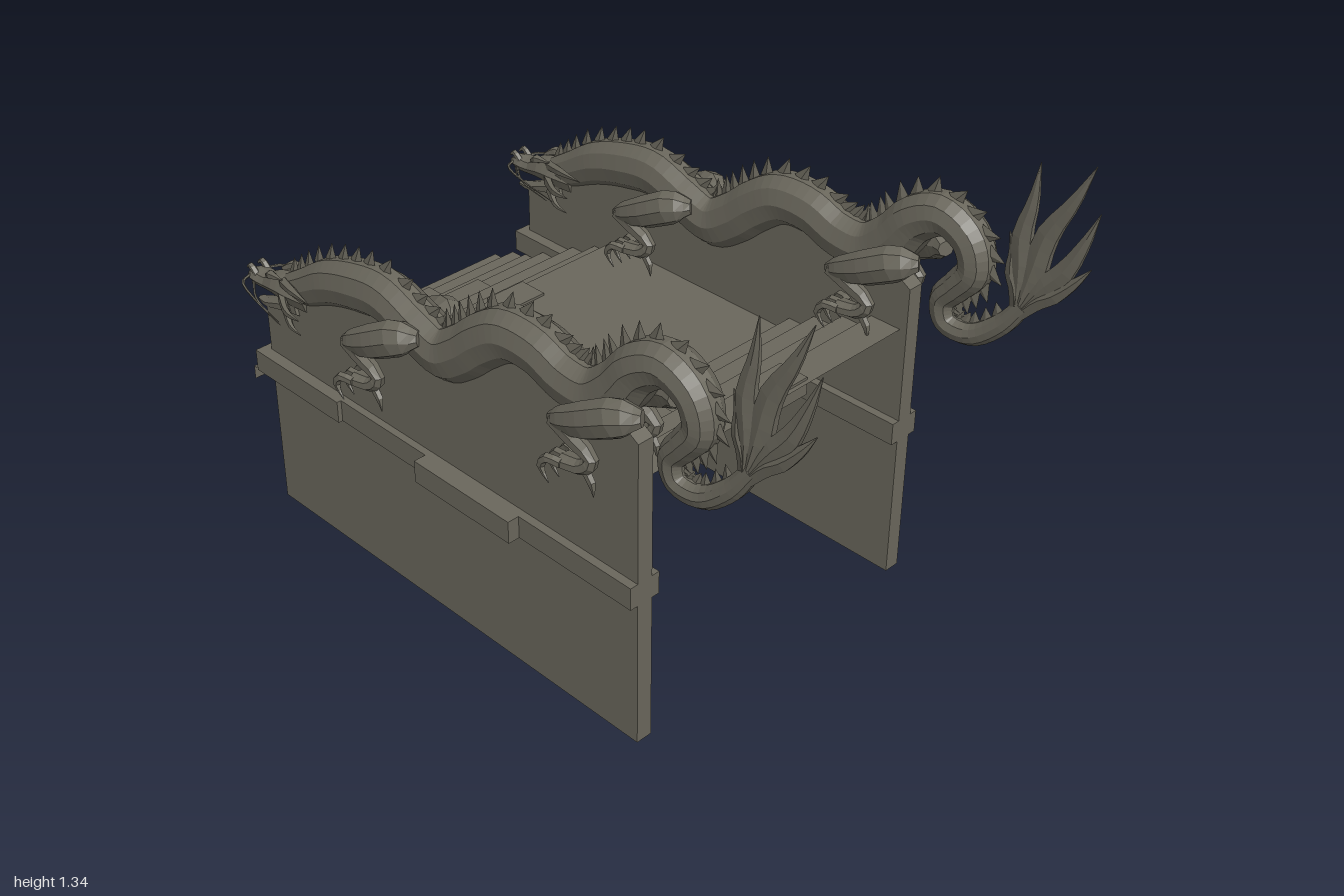
import * as THREE from 'three';
import { mergeGeometries } from 'three/addons/utils/BufferGeometryUtils.js';

const stone = new THREE.MeshStandardMaterial({ color: 0x6a675c, flatShading: true, side: THREE.DoubleSide });
stone.name = 'weathered stone';
const X = new THREE.Vector3(1, 0, 0);

function add(group, name, geometry) {
  const mesh = new THREE.Mesh(geometry, stone);
  mesh.name = name;
  group.add(mesh);
  return mesh;
}

// Smooth path through points [x, y, z, sideRadius, upRadius] with its local frame
function makePath(points) {
  const curve = new THREE.CatmullRomCurve3(points.map(p => new THREE.Vector3(p[0], p[1], p[2])));
  return t => {
    const f = t * (points.length - 1), i = Math.min(Math.floor(f), points.length - 2), k = f - i;
    const tangent = curve.getTangent(t);
    const side = X.clone().addScaledVector(tangent, -X.dot(tangent)).normalize();
    return {
      pos: curve.getPoint(t), tangent, side,
      up: tangent.clone().cross(side),
      rs: THREE.MathUtils.lerp(points[i][3], points[i + 1][3], k),
      ru: THREE.MathUtils.lerp(points[i][4], points[i + 1][4], k),
    };
  };
}

// Elliptical tapering tube along such a path, closed at both ends
function sweep(points, steps = 10, sides = 6) {
  const at = makePath(points), v = [], index = [];
  for (let i = 0; i <= steps; i++) {
    const f = at(i / steps);
    for (let j = 0; j < sides; j++) {
      const a = (j / sides) * Math.PI * 2;
      const p = f.pos.clone().addScaledVector(f.side, Math.cos(a) * f.rs).addScaledVector(f.up, Math.sin(a) * f.ru);
      v.push(p.x, p.y, p.z);
      if (i < steps) {
        const n = (j + 1) % sides, a0 = i * sides + j, b0 = i * sides + n;
        index.push(a0, b0, a0 + sides, b0, b0 + sides, a0 + sides);
      }
    }
  }
  for (let j = 1; j < sides - 1; j++) {
    const e = steps * sides;
    index.push(0, j + 1, j, e, e + j, e + j + 1);
  }
  const g = new THREE.BufferGeometry();
  g.setAttribute('position', new THREE.Float32BufferAttribute(v, 3));
  g.setIndex(index);
  g.computeVertexNormals();
  return g;
}

// Body centreline from neck to tail: [z, y, sideRadius, upRadius]
const bodyLine = [
  [-0.74, 0.69, 0.04, 0.045], [-0.66, 0.73, 0.045, 0.055], [-0.56, 0.785, 0.052, 0.065], [-0.45, 0.82, 0.056, 0.07],
  [-0.34, 0.835, 0.058, 0.072], [-0.23, 0.80, 0.06, 0.072], [-0.13, 0.775, 0.06, 0.072], [-0.05, 0.82, 0.06, 0.072],
  [0.02, 0.88, 0.06, 0.072], [0.10, 0.93, 0.06, 0.07], [0.20, 0.935, 0.06, 0.07], [0.29, 0.905, 0.06, 0.07],
  [0.38, 0.905, 0.06, 0.07], [0.45, 0.96, 0.06, 0.066], [0.51, 1.035, 0.058, 0.06], [0.59, 1.075, 0.054, 0.055],
  [0.665, 1.04, 0.05, 0.05], [0.685, 0.97, 0.047, 0.045], [0.645, 0.91, 0.043, 0.04], [0.605, 0.855, 0.038, 0.036],
  [0.62, 0.80, 0.034, 0.034], [0.69, 0.795, 0.03, 0.03], [0.77, 0.855, 0.024, 0.027], [0.825, 0.93, 0.018, 0.022],
].map(([z, y, s, u]) => [0, y, z, s, u]);

// Row of swept-back fins along the spine
function spineFins() {
  const at = makePath(bodyLine), fins = [];
  for (let i = 1; i < 52; i++) {
    const f = at(i / 53), h = 0.03 + f.ru * 0.4;
    const dir = f.up.clone().addScaledVector(f.tangent, 0.55).normalize();
    const g = new THREE.ConeGeometry(0.024, h, 4).scale(0.35, 1, 1).translate(0, h / 2 - 0.012, 0);
    g.applyQuaternion(new THREE.Quaternion().setFromUnitVectors(new THREE.Vector3(0, 1, 0), dir));
    const p = f.pos.clone().addScaledVector(f.up, f.ru * 0.97);
    fins.push(g.translate(p.x, p.y, p.z));
  }
  return mergeGeometries(fins);
}

// Leg with haunch, shin, paw and claws; s is the side, (y, z) the offset from the hind leg
function leg(s, y, z) {
  const P = list => list.map(([px, py, pz, a, b]) => [s * px, py + y, pz + z, a, b]);
  const parts = [
    sweep(P([[0.05, 0.95, 0.56, 0.02, 0.02], [0.075, 0.945, 0.52, 0.04, 0.048], [0.088, 0.90, 0.43, 0.036, 0.045],
      [0.088, 0.865, 0.35, 0.028, 0.032], [0.088, 0.855, 0.315, 0.01, 0.012]]), 10, 8),
    sweep(P([[0.088, 0.86, 0.33, 0.022, 0.022], [0.095, 0.845, 0.39, 0.022, 0.024], [0.098, 0.815, 0.455, 0.016, 0.018],
      [0.098, 0.785, 0.43, 0.02, 0.02], [0.098, 0.775, 0.37, 0.028, 0.018]]), 10, 7),
  ];
  for (const k of [-1, 0, 1]) {
    const c = 0.096 + k * 0.022, e = 0.096 + k * 0.031;
    parts.push(sweep(P([[c, 0.778, 0.38, 0.011, 0.012], [e, 0.78, 0.345, 0.011, 0.012],
      [e, 0.75, 0.325, 0.009, 0.01], [e, 0.715, 0.35, 0.001, 0.001]]), 6, 5));
  }
  parts.push(sweep(P([[0.098, 0.785, 0.43, 0.01, 0.012], [0.098, 0.755, 0.455, 0.009, 0.011], [0.098, 0.72, 0.46, 0.001, 0.001]]), 4, 5));
  return mergeGeometries(parts);
}

function head() {
  const parts = [
    // skull and open snout
    sweep([[0, 0.69, -0.66, 0.035, 0.04], [0, 0.695, -0.72, 0.05, 0.045], [0, 0.69, -0.78, 0.047, 0.036],
      [0, 0.672, -0.84, 0.033, 0.022], [0, 0.668, -0.89, 0.032, 0.024], [0, 0.662, -0.92, 0.018, 0.012]], 12, 8),
    // lower jaw
    sweep([[0, 0.655, -0.70, 0.035, 0.03], [0, 0.63, -0.78, 0.032, 0.018], [0, 0.605, -0.85, 0.025, 0.012],
      [0, 0.597, -0.895, 0.01, 0.006]], 8, 7),
  ];
  for (const s of [-1, 1]) {
    const arc = (list, n = 6) => parts.push(sweep(list.map(([x, ...r]) => [s * x, ...r]), n, 5));
    // brow, horn, cheek spikes, nostril and fangs
    arc([[0.025, 0.705, -0.82, 0.006, 0.006], [0.036, 0.725, -0.785, 0.013, 0.013], [0.042, 0.735, -0.73, 0.002, 0.002]]);
    arc([[0.03, 0.72, -0.74, 0.014, 0.014], [0.055, 0.735, -0.67, 0.012, 0.012], [0.085, 0.755, -0.56, 0.001, 0.001]]);
    arc([[0.04, 0.68, -0.74, 0.012, 0.02], [0.07, 0.675, -0.68, 0.008, 0.014], [0.085, 0.685, -0.61, 0.001, 0.001]]);
    arc([[0.03, 0.645, -0.74, 0.012, 0.016], [0.055, 0.625, -0.69, 0.007, 0.01], [0.062, 0.62, -0.64, 0.001, 0.001]]);
    arc([[0.018, 0.68, -0.875, 0.01, 0.008], [0.018, 0.698, -0.9, 0.009, 0.008], [0.016, 0.685, -0.918, 0.003, 0.003]]);
    arc([[0.02, 0.655, -0.89, 0.006, 0.006], [0.02, 0.62, -0.895, 0.001, 0.001]], 2);
    // whiskers
    arc([[0.02, 0.67, -0.905, 0.004, 0.004], [0.06, 0.675, -0.88, 0.004, 0.004], [0.095, 0.68, -0.78, 0.003, 0.003],
      [0.132, 0.69, -0.62, 0.001, 0.001]], 10);
    arc([[0.02, 0.665, -0.89, 0.003, 0.003], [0.065, 0.655, -0.82, 0.003, 0.003], [0.09, 0.65, -0.69, 0.001, 0.001]], 8);
  }
  return mergeGeometries(parts);
}

// Flame-shaped tail tuft: [midZ, midY, tipZ, tipY, width]
function tailFlames() {
  return mergeGeometries([
    [0.865, 1.13, 0.965, 1.335, 0.034], [0.92, 1.06, 0.99, 1.23, 0.03], [0.9, 0.99, 0.985, 1.09, 0.026],
    [0.80, 1.10, 0.825, 1.295, 0.032], [0.785, 1.0, 0.765, 1.10, 0.024],
  ].map(([mz, my, tz, ty, w]) => sweep([
    [0, 0.90, 0.81, 0.016, 0.02], [0, (0.93 + my) / 2, (0.82 + mz) / 2, 0.017, w], [0, my, mz, 0.014, w * 0.9],
    [0, (my + ty) / 2, (mz + tz) / 2 + 0.005, 0.009, w * 0.5], [0, ty, tz, 0.001, 0.001]], 10, 6)));
}

function makeDragon() {
  const g = new THREE.Group();
  add(g, 'body', sweep(bodyLine, 100, 10));
  add(g, 'spineFins', spineFins());
  add(g, 'head', head());
  add(g, 'tailFlames', tailFlames());
  for (const s of [-1, 1]) {
    add(g, 'hindLeg', leg(s, 0, 0));
    add(g, 'foreLeg', leg(s, -0.135, -0.735));
  }
  return g;
}

// Side wall whose top runs beneath the dragon
function wallGeometry() {
  const shape = new THREE.Shape([[0.52, 0], [0.52, 0.85], [0.42, 0.91], [0.2, 0.91], [0.08, 0.90], [-0.04, 0.81], [-0.14, 0.76],
    [-0.3, 0.79], [-0.46, 0.79], [-0.62, 0.72], [-0.74, 0.66], [-0.84, 0.61], [-0.84, 0]].map(p => new THREE.Vector2(...p)));
  return new THREE.ExtrudeGeometry(shape, { depth: 0.045, bevelEnabled: false }).rotateY(-Math.PI / 2).translate(0.0225, 0, 0);
}

export function createModel() {
  const model = new THREE.Group();
  model.name = 'dragonStairway';
  for (const s of [-1, 1]) {
    const side = new THREE.Group();
    side.name = s > 0 ? 'leftBalustrade' : 'rightBalustrade';
    side.position.x = s * 0.455;
    add(side, 'wall', wallGeometry());
    // trim stones: [back z, front z, width]
    for (const [z0, z1, w] of [[0.15, 0.52, 0.09], [-0.19, 0.15, 0.155], [-0.52, -0.19, 0.085], [-0.865, -0.52, 0.11]])
      add(side, 'trimStone', new THREE.BoxGeometry(w, 0.062, z1 - z0).translate(0, 0.441, (z0 + z1) / 2));
    const dragon = makeDragon();
    dragon.name = 'dragon';
    side.add(dragon);
    model.add(side);
  }

  // Steps: open folded sheet of risers and treads with a long landing
  const edges = [-1, -0.92, -0.83, -0.75, -0.66, -0.57, -0.5, 0.15, 0.23, 0.32, 0.41, 0.5];
  const rise = 0.0405, stairs = new THREE.Group();
  stairs.name = 'stairs';
  for (let i = 0; i < edges.length - 1; i++) {
    const y = 0.285 + rise * (i + 1), d = edges[i + 1] - edges[i];
    add(stairs, 'riser', new THREE.PlaneGeometry(0.87, rise).rotateY(Math.PI).translate(0, y - rise / 2, edges[i]));
    add(stairs, i === 6 ? 'landing' : 'tread', new THREE.PlaneGeometry(0.87, d).rotateX(-Math.PI / 2).translate(0, y, edges[i] + d / 2));
  }
  // Slightly raised loose stones: [x, step]
  for (const [x, i] of [[0.06, 1], [-0.15, 2], [0.1, 3], [-0.2, 4], [0.045, 6], [-0.195, 8], [0.045, 10]])
    add(stairs, 'looseStone', new THREE.BoxGeometry(0.125, rise + 0.008, 0.085)
      .translate(x, 0.285 + rise * (i + 0.5) + 0.003, edges[i] + 0.036));
  model.add(stairs);
  return model;
}
